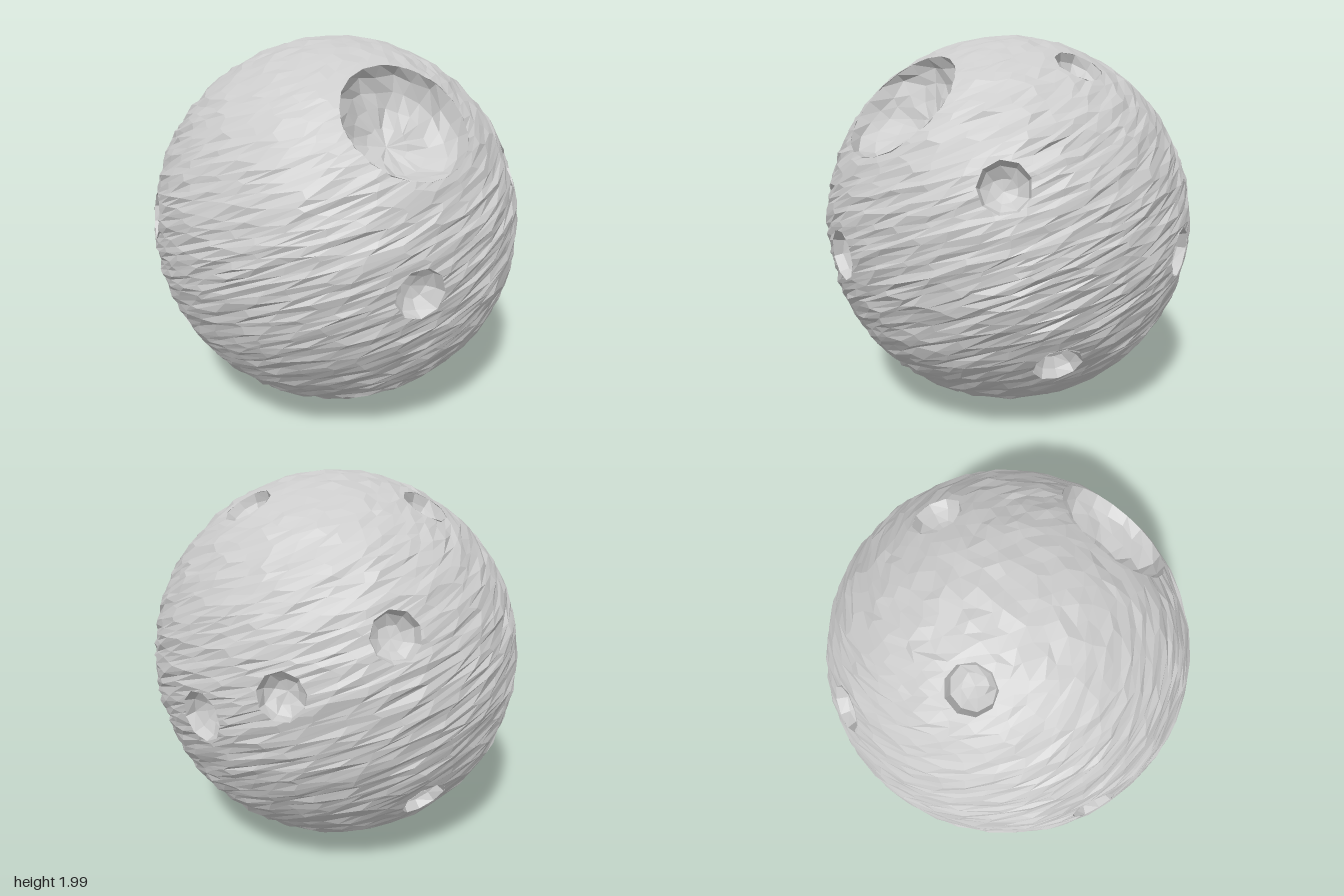
import * as THREE from 'three';
import { mergeVertices } from 'three/addons/utils/BufferGeometryUtils.js';

const UP = new THREE.Vector3(0, 1, 0);

// Craters: direction from the centre, rim radius, depth, sides
const CRATERS = [
  [0, 0.7, 0.71, 0.328, 0.2, 20],
  [-0.1, -0.07, 0.99, 0.13],
  [0.72, 0.35, 0.6, 0.125],
  [0.77, -0.55, 0.31, 0.125],
  [0.91, -0.08, -0.4, 0.13],
  [0.64, 0.1, -0.76, 0.12],
  [0.51, 0.85, -0.04, 0.13],
  [-0.29, 0.855, -0.43, 0.125],
  [0.15, 0.36, -0.92, 0.125],
  [-0.975, 0.11, -0.19, 0.12],
  [-0.1, -0.56, -0.82, 0.125],
  [-0.85, -0.52, -0.06, 0.125],
].map(([x, y, z, radius, depth = 0.095, sides = 9]) => {
  const dir = new THREE.Vector3(x, y, z).normalize();
  const turn = new THREE.Quaternion().setFromUnitVectors(UP, dir);
  // outward normals of the prism that cuts the hole
  const walls = Array.from({ length: sides }, (_, i) => {
    const a = ((i + 0.5) / sides) * Math.PI * 2;
    return new THREE.Vector3(Math.sin(a), 0, Math.cos(a)).applyQuaternion(turn);
  });
  return { dir, turn, walls, radius, depth, sides, inset: radius * Math.cos(Math.PI / sides) };
});

function seeded(seed) {
  return () => {
    seed = (seed * 1664525 + 1013904223) % 4294967296;
    return (seed / 4294967296) * 2 - 1;
  };
}

// Keeps the part of a convex polygon where sign * (normal . p - offset) >= 0
function clip(poly, normal, offset, sign) {
  const out = [];
  poly.forEach((a, i) => {
    const b = poly[(i + 1) % poly.length];
    const da = sign * (normal.dot(a) - offset);
    const db = sign * (normal.dot(b) - offset);
    if (da >= 0) out.push(a);
    if (da * db < 0) out.push(a.clone().lerp(b, da / (da - db)));
  });
  return out.length > 2 ? out : [];
}

// Cuts one crater hole out of a list of polygons
function cutHole(polys, { dir, walls, inset, radius }) {
  const result = [];
  for (const poly of polys) {
    if (!poly.some((p) => p.dot(dir) > 0.5)) {
      result.push(poly);
      continue;
    }
    const pieces = [];
    let inside = poly;
    for (const wall of walls) {
      const outside = clip(inside, wall, inset, 1);
      if (outside.length) pieces.push(outside);
      inside = clip(inside, wall, inset, -1);
      if (!inside.length) break;
    }
    if (inside.length) result.push(...pieces);
    else result.push(poly);
  }
  return result;
}

// Rough ball whose facets are drawn out into streaks by a twist about y
function roughGround() {
  const rand = seeded(7);
  let geo = new THREE.IcosahedronGeometry(1, 15);
  geo.deleteAttribute('normal');
  geo.deleteAttribute('uv');
  geo = mergeVertices(geo, 1e-4);
  const pos = geo.attributes.position;
  const points = [];
  for (let i = 0; i < pos.count; i++) {
    const p = new THREE.Vector3().fromBufferAttribute(pos, i);
    p.add(new THREE.Vector3(rand(), rand(), rand()).multiplyScalar(0.02)).normalize();
    p.applyAxisAngle(UP, 2.4 * p.y);
    // calmer ground beside the rims
    let calm = 1;
    for (const c of CRATERS) {
      const gap = Math.abs(p.angleTo(c.dir) - c.radius);
      calm = Math.min(calm, 0.25 + gap / 0.12);
    }
    points.push(p.multiplyScalar(0.993 + 0.009 * rand() * calm));
  }
  let polys = [];
  const index = geo.index;
  for (let i = 0; i < index.count; i += 3) {
    polys.push([0, 1, 2].map((k) => points[index.getX(i + k)]));
  }
  for (const crater of CRATERS) polys = cutHole(polys, crater);

  const verts = [];
  for (const poly of polys) {
    for (let k = 1; k < poly.length - 1; k++) {
      for (const p of [poly[0], poly[k], poly[k + 1]]) verts.push(p.x, p.y, p.z);
    }
  }
  const out = new THREE.BufferGeometry();
  out.setAttribute('position', new THREE.Float32BufferAttribute(verts, 3));
  out.computeVertexNormals();
  return out;
}

// Faceted bowl that lines a crater
function bowl({ radius, depth, sides, turn }, seed) {
  const rand = seeded(seed);
  const rimY = Math.sqrt(1 - radius * radius) - 0.008;
  const rings = radius > 0.2 ? 5 : 3;
  const profile = [];
  for (let i = 0; i <= rings; i++) {
    const t = (i / rings) * Math.PI / 2;
    profile.push(new THREE.Vector2(i === rings ? 0 : radius * Math.cos(t), rimY - depth * Math.sin(t)));
  }
  let geo = new THREE.LatheGeometry(profile, sides);
  geo.deleteAttribute('normal');
  geo.deleteAttribute('uv');
  geo = mergeVertices(geo, 1e-4);
  const pos = geo.attributes.position;
  const wobble = radius * 0.05;
  for (let i = 0; i < pos.count; i++) {
    if (pos.getY(i) > rimY - 1e-4) continue;
    pos.setXYZ(i, pos.getX(i) + rand() * wobble, pos.getY(i) + rand() * wobble, pos.getZ(i) + rand() * wobble);
  }
  geo.applyQuaternion(turn);
  geo = geo.toNonIndexed();
  geo.computeVertexNormals();
  return geo;
}

export function createModel() {
  const model = new THREE.Group();
  model.name = 'crateredMoon';
  const material = new THREE.MeshStandardMaterial({ color: 0xcccccc, flatShading: true, side: THREE.DoubleSide });

  const ground = new THREE.Mesh(roughGround(), material);
  ground.name = 'ground';
  model.add(ground);

  CRATERS.forEach((crater, i) => {
    const mesh = new THREE.Mesh(bowl(crater, i + 11), material);
    mesh.name = i === 0 ? 'largeCrater' : `smallCrater${i}`;
    model.add(mesh);
  });

  model.children.forEach((part) => (part.position.y = 1));
  return model;
}
